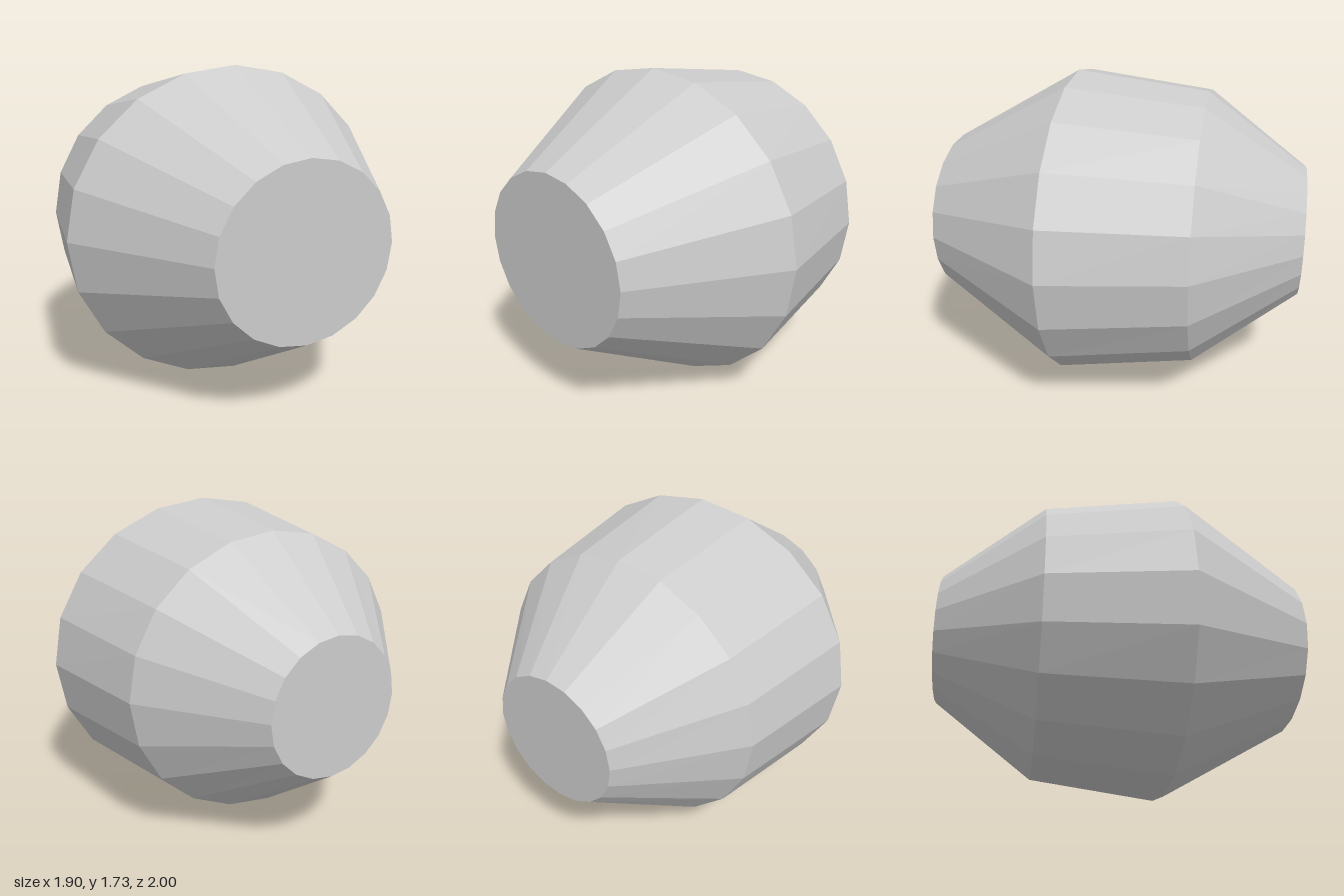
import * as THREE from 'three';

// Rings from back to front: z, half width, half height
const RINGS = [
  { z: -1, rx: 0.366, ry: 0.364 },
  { z: -0.45, rx: 0.818, ry: 0.77 },
  { z: 0.275, rx: 0.952, ry: 0.863 },
  { z: 1, rx: 0.5, ry: 0.455 },
];
const SIDES = 20;
const CENTRE_Y = 0.863;

export function createModel() {
  const group = new THREE.Group();
  group.name = 'facetedBarrel';

  // Closed profile turned around the long axis, then laid along z
  const profile = [
    new THREE.Vector2(0, RINGS[0].z),
    ...RINGS.map((r) => new THREE.Vector2(r.rx, r.z)),
    new THREE.Vector2(0, RINGS[RINGS.length - 1].z),
  ];
  const geometry = new THREE.LatheGeometry(profile, SIDES);
  geometry.rotateX(Math.PI / 2);

  // Flatten each ring to its own oval
  const pos = geometry.attributes.position;
  for (let i = 0; i < pos.count; i++) {
    const ring = RINGS.find((r) => Math.abs(r.z - pos.getZ(i)) < 0.01);
    pos.setY(i, pos.getY(i) * ring.ry / ring.rx);
  }
  geometry.computeVertexNormals();

  const body = new THREE.Mesh(
    geometry,
    new THREE.MeshStandardMaterial({ color: 0xcccccc, flatShading: true }),
  );
  body.name = 'barrelBody';
  body.position.y = CENTRE_Y;
  group.add(body);
  return group;
}
